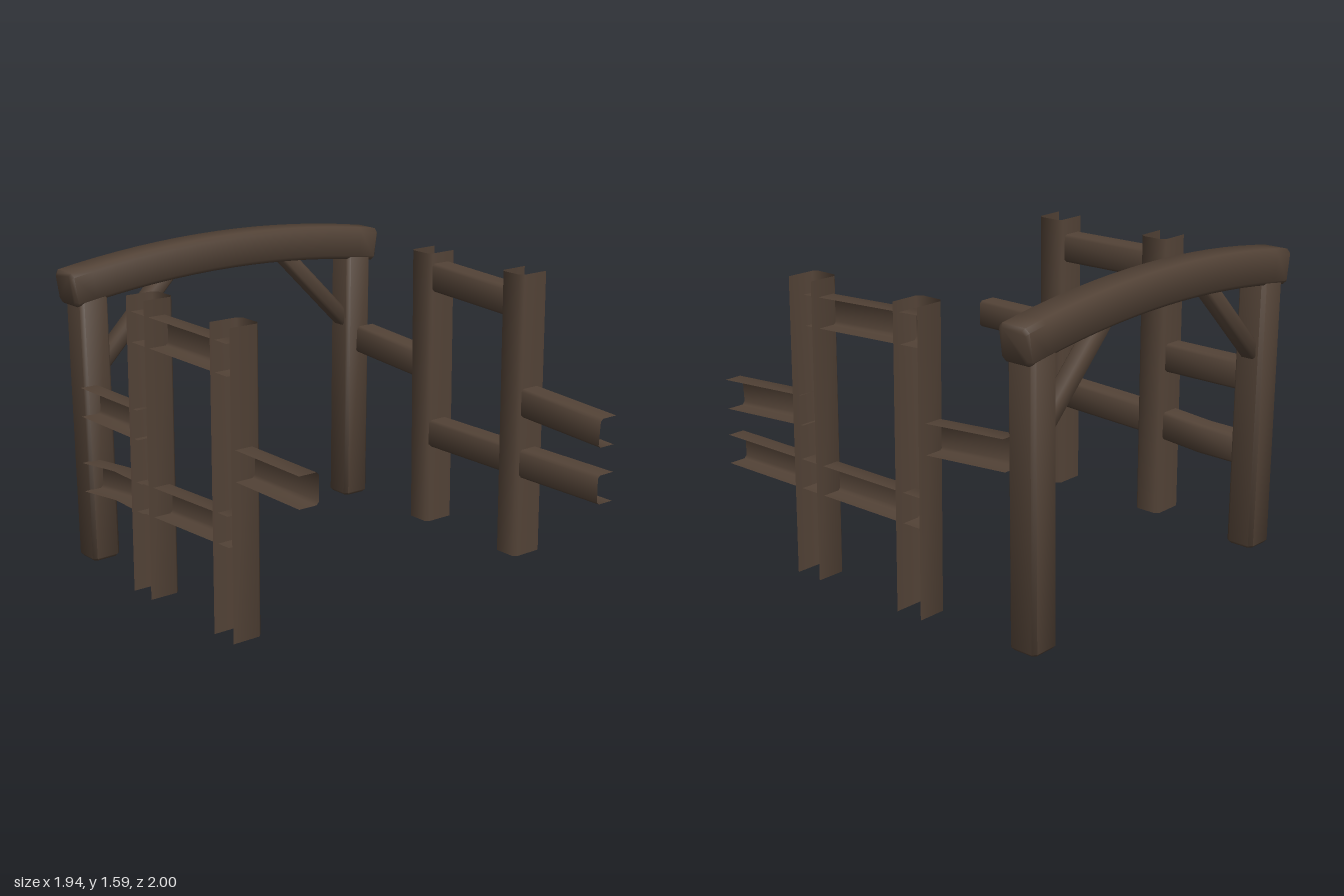
import * as THREE from 'three';
import { toCreasedNormals } from 'three/addons/utils/BufferGeometryUtils.js';

const V = (x, y, z) => new THREE.Vector3(x, y, z);

// Open channel section: web on -u with chamfered corners, open towards +u
const channel = (a, b, c) => [[a, b], [c - a, b], [-a, b - c], [-a, c - b], [c - a, -b], [a, -b]];
// Closed rectangle section with chamfered corners
const block = (a, b, c) => [
  [a, b - c], [a - c, b], [c - a, b], [-a, b - c], [-a, c - b], [c - a, -b], [a - c, -b], [a, c - b],
];

// Sweep a section along a path; v is the fixed second axis of the section
function sweep(path, v, section, closed, scales = []) {
  const pos = [], index = [], n = section.length;
  path.forEach((p, i) => {
    const d = path[Math.min(i + 1, path.length - 1)].clone().sub(path[Math.max(i - 1, 0)]).normalize();
    const u = v.clone().cross(d).normalize();
    const w = d.clone().cross(u);
    const s = scales[i] ?? 1;
    for (const [a, b] of section) {
      const q = p.clone().addScaledVector(u, a * s).addScaledVector(w, b * s);
      pos.push(q.x, q.y, q.z);
    }
  });
  for (let i = 0; i < path.length - 1; i++) {
    for (let j = 0; j < (closed ? n : n - 1); j++) {
      const a = i * n + j, b = i * n + (j + 1) % n;
      index.push(a, b, b + n, a, b + n, a + n);
    }
  }
  if (closed) {
    const e = (path.length - 1) * n;
    for (let j = 1; j < n - 1; j++) index.push(0, j + 1, j, e, e + j, e + j + 1);
  }
  const g = new THREE.BufferGeometry();
  g.setAttribute('position', new THREE.Float32BufferAttribute(pos, 3));
  g.setIndex(index);
  return toCreasedNormals(g, THREE.MathUtils.degToRad(60));
}

// Solid timber: the path gains a chamfered ring at each end
function timber(path, v, section, bevel = 0.014, inset = 0.84) {
  const first = path[0], last = path[path.length - 1];
  const d0 = path[1].clone().sub(first).setLength(bevel);
  const d1 = path[path.length - 2].clone().sub(last).setLength(bevel);
  const full = [first, first.clone().add(d0), ...path.slice(1, -1), last.clone().add(d1), last];
  return sweep(full, v, section, true, full.map((_, i) => (i === 0 || i === full.length - 1 ? inset : 1)));
}

export function createModel() {
  const model = new THREE.Group();
  model.name = 'gateway';
  const wood = new THREE.MeshStandardMaterial({ color: 0x524236, side: THREE.DoubleSide });
  wood.name = 'dark wood';
  const add = (name, geometry, parent = model) => {
    const mesh = new THREE.Mesh(geometry, wood);
    mesh.name = name;
    parent.add(mesh);
  };
  const up = V(0, 1, 0), front = V(0, 0, 1), back = V(0, 0, -1);

  // Arched beam
  const arch = [];
  for (let i = 0; i <= 16; i++) {
    const x = -0.96 + 0.12 * i;
    arch.push(V(x, 1.498 - 0.08 * (x / 0.96) ** 2, -0.915));
  }
  add('archedBeam', timber(arch, front, block(0.087, 0.085, 0.02)));

  // Gate posts and diagonal braces
  for (const s of [1, -1]) {
    const side = s > 0 ? 'left' : 'right';
    add(side + 'GatePost', timber([V(s * 0.824, 0, -0.913), V(s * 0.842, 1.42, -0.913)],
      back, block(0.079, 0.077, 0.018)));
    add(side + 'Brace', timber([V(s * 0.79, 1.005, -0.913), V(s * 0.36, 1.435, -0.913)],
      front, block(0.04, 0.045, 0.014)));
  }

  // Fences: channel rails given as [name, back point, ..., front point]
  const fences = {
    left: [
      ['topRail', [0.87, 1.36, -0.34], [0.865, 1.322, 0.415]],
      ['backUpperRail', [0.866, 0.905, -0.825], [0.866, 0.867, -0.32]],
      ['lowerRail', [0.865, 0.506, -0.32], [0.874, 0.506, 1.0]],
      ['frontUpperRail', [0.87, 0.826, 0.455], [0.876, 0.792, 0.997]],
    ],
    right: [
      ['topRail', [-0.885, 1.33, -0.36], [-0.885, 1.325, 0.41]],
      ['backUpperRail', [-0.888, 0.855, -0.84], [-0.888, 0.855, -0.33]],
      ['backLowerRail', [-0.89, 0.463, -0.85], [-0.862, 0.478, -0.6], [-0.888, 0.491, -0.3]],
      ['lowerRail', [-0.885, 0.495, -0.34], [-0.885, 0.524, 0.4]],
      ['frontUpperRail', [-0.888, 0.855, 0.45], [-0.893, 0.855, 0.935]],
    ],
  };
  for (const [side, rails] of Object.entries(fences)) {
    const s = side === 'left' ? 1 : -1;
    const fence = new THREE.Group();
    fence.name = side + 'Fence';
    model.add(fence);
    // turning the section half round keeps its open side outwards
    const turn = (section) => section.map(([a, b]) => [a * s, b * s]);
    for (const [name, ...points] of rails) {
      add(name, sweep(points.map((p) => V(...p)), up, turn(channel(0.053, 0.074, 0.014)), false), fence);
    }
    for (const [name, z] of [['frontPost', 0.393], ['backPost', -0.285]]) {
      add(name, sweep([V(s * 0.885, 0.01, z), V(s * 0.878, 1.483, z)],
        back, turn(channel(0.083, 0.075, 0.02)), false), fence);
    }
  }
  return model;
}
